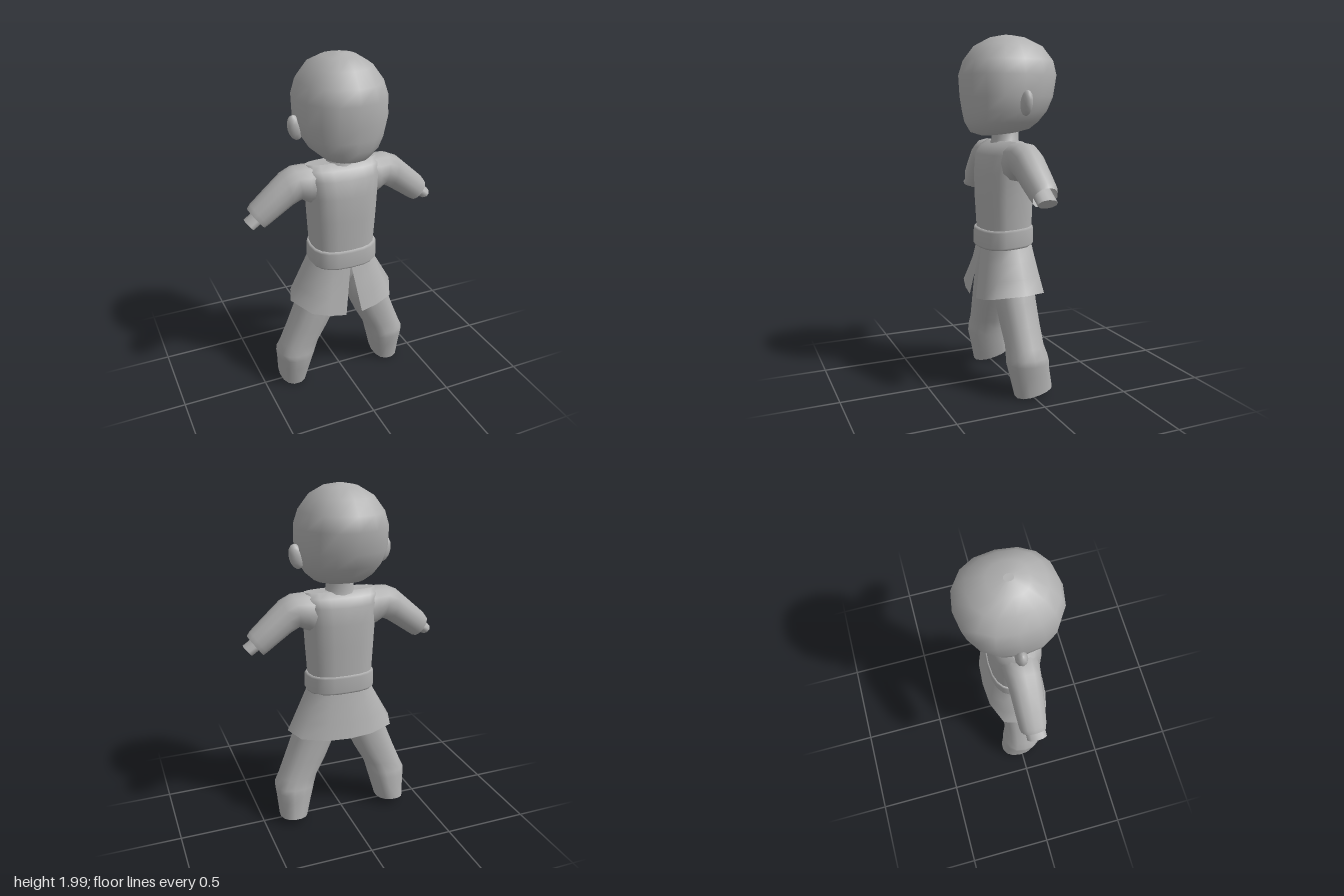
import * as THREE from 'three';

const V = (x, y, z) => new THREE.Vector3(x, y, z);

// Horizontal section: height, centre x, half width, front z, back z, rise of the back edge
const level = (y, cx, hw, zf, zb, rise = 0) => ({
  c: V(cx, y, (zf + zb) / 2), u: V(hw, 0, 0), v: V(0, rise, -(zf - zb) / 2),
});

// Arm section: top point and bottom point in x/y, front z, back z
const slice = (tx, ty, bx, by, zf, zb) => ({
  c: V((tx + bx) / 2, (ty + by) / 2, (zf + zb) / 2),
  u: V((tx - bx) / 2, (ty - by) / 2, 0), v: V(0, 0, (zf - zb) / 2),
});

// Smooth skin over rounded sections; power above 2 makes them squarer
function loft(sections, { sides = 16, power = 2, start = true, end = true } = {}) {
  const pos = [], index = [];
  const round = (t) => Math.sign(t) * Math.abs(t) ** (2 / power);
  const addRing = ({ c, u, v }) => {
    const first = pos.length / 3;
    for (let i = 0; i < sides; i++) {
      const a = (i / sides) * Math.PI * 2;
      const p = c.clone().addScaledVector(u, round(Math.cos(a))).addScaledVector(v, round(Math.sin(a)));
      pos.push(p.x, p.y, p.z);
    }
    return first;
  };
  const addCap = (section, flip) => {
    const r = addRing(section), centre = pos.length / 3;
    pos.push(section.c.x, section.c.y, section.c.z);
    for (let i = 0; i < sides; i++) {
      const a = r + i, b = r + ((i + 1) % sides);
      if (flip) index.push(centre, b, a);
      else index.push(centre, a, b);
    }
  };
  const rings = sections.map(addRing);
  for (let k = 0; k + 1 < rings.length; k++) {
    for (let i = 0; i < sides; i++) {
      const j = (i + 1) % sides;
      const a = rings[k] + i, b = rings[k] + j, c = rings[k + 1] + j, d = rings[k + 1] + i;
      index.push(a, b, c, a, c, d);
    }
  }
  if (start) addCap(sections[0], true);
  if (end) addCap(sections[sections.length - 1], false);
  return surface(pos, index);
}

function surface(pos, index) {
  const g = new THREE.BufferGeometry();
  g.setAttribute('position', new THREE.Float32BufferAttribute(pos, 3));
  g.setIndex(index);
  g.computeVertexNormals();
  return g;
}

// Copy reflected across x = 0, with the corner order restored
function mirrored(geometry) {
  const g = geometry.clone().scale(-1, 1, 1);
  const old = Array.from(g.index.array);
  for (let i = 0; i < old.length; i += 3) [old[i], old[i + 2]] = [old[i + 2], old[i]];
  g.setIndex(old);
  g.computeVertexNormals();
  return g;
}

// Flared skirt, open at the front, running from one slit edge round the back to the other
function skirtGeometry() {
  const top = [[0, 0.83, 0.165], [0.1, 0.83, 0.155], [0.17, 0.83, 0.1], [0.185, 0.83, 0.02],
    [0.165, 0.84, -0.07], [0.09, 0.845, -0.105], [0, 0.845, -0.115]];
  const hem = [[0.05, 0.52, 0.22], [0.15, 0.535, 0.21], [0.25, 0.56, 0.185], [0.325, 0.58, 0.03],
    [0.28, 0.575, -0.1], [0.14, 0.565, -0.155], [0, 0.56, -0.165]];
  const around = (half) => [...half, ...half.slice(0, -1).reverse().map(([x, y, z]) => [-x, y, z])];
  const a = around(top), b = around(hem), pos = [], index = [], rows = 3;
  a.forEach((p, i) => {
    for (let j = 0; j <= rows; j++) {
      pos.push(...V(...p).lerp(V(...b[i]), j / rows).toArray());
      if (i + 1 < a.length && j < rows) {
        const n = i * (rows + 1) + j, m = n + rows + 1;
        index.push(n, n + 1, m, m, n + 1, m + 1);
      }
    }
  });
  return surface(pos, index);
}

export function createModel() {
  const group = new THREE.Group();
  const grey = new THREE.MeshStandardMaterial({ color: 0xb0b0b0, side: THREE.DoubleSide });
  grey.name = 'plain grey';

  const add = (name, geometry) => {
    const mesh = new THREE.Mesh(geometry, grey);
    mesh.name = name;
    group.add(mesh);
  };
  const addPair = (name, geometry) => {
    add('left' + name, geometry);
    add('right' + name, mirrored(geometry));
  };

  // Large rounded head with a flatter face and a jaw set forward
  add('head', loft([
    level(1.455, 0, 0.09, 0.16, -0.05, 0.01),
    level(1.472, 0, 0.14, 0.215, -0.12, 0.01),
    level(1.52, 0, 0.195, 0.245, -0.165),
    level(1.58, 0, 0.23, 0.255, -0.215),
    level(1.66, 0, 0.25, 0.267, -0.25),
    level(1.78, 0, 0.25, 0.275, -0.272),
    level(1.86, 0, 0.225, 0.25, -0.255),
    level(1.94, 0, 0.168, 0.19, -0.195),
    level(1.985, 0, 0.095, 0.105, -0.1),
    level(2.0, 0, 0.02, 0.03, -0.02),
  ], { power: 2.3 }));

  // Ears
  const ear = new THREE.SphereGeometry(1, 10, 8);
  ear.scale(0.042, 0.071, 0.033).rotateZ(-0.25).translate(0.255, 1.625, 0.0);
  addPair('Ear', ear);

  add('neck', loft([
    level(1.38, 0, 0.11, 0.11, -0.07),
    level(1.42, 0, 0.082, 0.095, -0.06),
    level(1.49, 0, 0.075, 0.09, -0.06),
  ], { sides: 12 }));

  // Jacket body with squared shoulders
  add('torso', loft([
    level(0.84, 0, 0.183, 0.165, -0.113),
    level(0.92, 0, 0.187, 0.168, -0.115),
    level(1.1, 0, 0.198, 0.177, -0.12),
    level(1.24, 0, 0.206, 0.177, -0.12),
    level(1.34, 0, 0.22, 0.162, -0.113),
    level(1.39, 0, 0.225, 0.125, -0.085),
    level(1.416, 0, 0.21, 0.07, -0.03),
  ], { sides: 20, power: 2.6 }));

  // Sleeves, open at the cuff, with short wrists inside
  addPair('Sleeve', loft([
    slice(0.13, 1.412, 0.15, 1.18, 0.12, -0.08),
    slice(0.21, 1.416, 0.21, 1.2, 0.12, -0.08),
    slice(0.28, 1.414, 0.25, 1.225, 0.112, -0.077),
    slice(0.345, 1.385, 0.3, 1.2, 0.105, -0.073),
    slice(0.45, 1.292, 0.38, 1.145, 0.095, -0.07),
    slice(0.525, 1.225, 0.44, 1.103, 0.085, -0.066),
    slice(0.542, 1.2, 0.46, 1.09, 0.078, -0.06),
  ], { sides: 12, power: 2.2, end: false }));
  addPair('Wrist', loft([
    slice(0.45, 1.225, 0.41, 1.165, 0.07, -0.04),
    slice(0.567, 1.143, 0.522, 1.093, 0.073, -0.04),
  ], { sides: 10 }));

  // Belt, slightly higher at the back
  add('belt', loft([
    level(0.822, 0, 0.17, 0.155, -0.1, 0.011),
    level(0.817, 0, 0.193, 0.177, -0.117, 0.011),
    level(0.83, 0, 0.202, 0.186, -0.124, 0.011),
    level(0.915, 0, 0.2, 0.183, -0.124, 0.011),
    level(0.928, 0, 0.193, 0.176, -0.119, 0.011),
    level(0.925, 0, 0.17, 0.155, -0.1, 0.011),
  ], { sides: 20, power: 2.6 }));

  add('skirt', skirtGeometry());

  add('hips', loft([
    level(0.66, 0, 0.11, 0.09, -0.07),
    level(0.74, 0, 0.165, 0.13, -0.09),
    level(0.85, 0, 0.17, 0.14, -0.1),
  ], { power: 2.3 }));

  // Trouser legs, spread apart, bulging above the tapered feet
  addPair('Leg', loft([
    level(0.03, 0.318, 0.08, 0.09, -0.125, 0.022),
    level(0.14, 0.307, 0.1, 0.115, -0.112, 0.01),
    level(0.2, 0.302, 0.112, 0.131, -0.11),
    level(0.235, 0.297, 0.117, 0.13, -0.102),
    level(0.29, 0.275, 0.114, 0.125, -0.088),
    level(0.4, 0.222, 0.122, 0.133, -0.085),
    level(0.53, 0.167, 0.126, 0.142, -0.085),
    level(0.66, 0.127, 0.125, 0.142, -0.087),
    level(0.83, 0.09, 0.09, 0.13, -0.09),
  ], { sides: 14, power: 2.3 }));

  return group;
}
